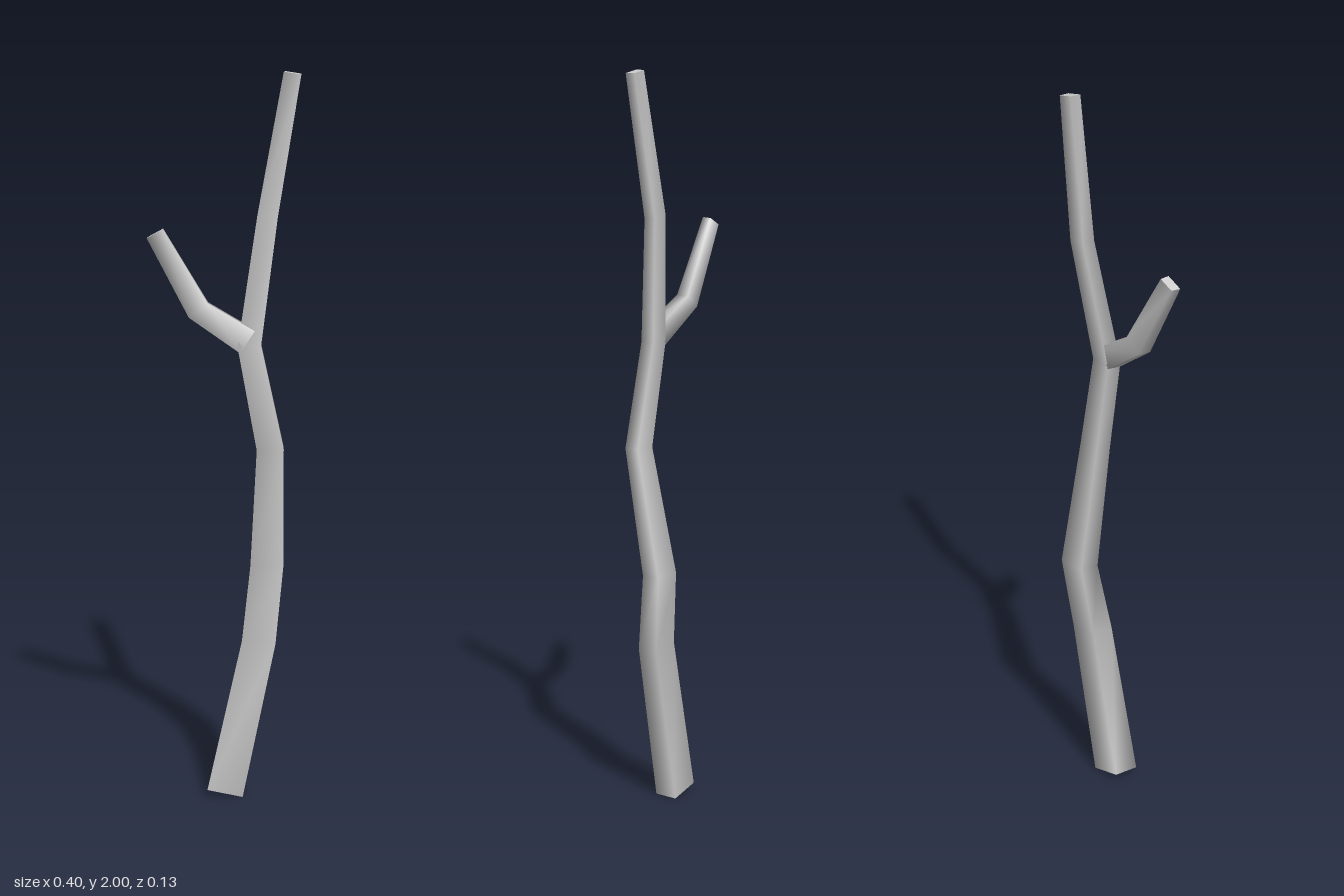
import * as THREE from 'three';

// Corners of a four-sided ring, counter-clockwise seen from its end
const CORNERS = [[-1, 1], [1, 1], [1, -1], [-1, -1]];

// Ring: [x, y, z, half width, half depth, tilt in the xy plane]
function ringPoints([x, y, z, w, d, tilt]) {
  return CORNERS.map(([u, v]) => {
    const a = u * w * (v < 0 ? 0.9 : 1); // back side slightly narrower
    return [x + a * Math.cos(tilt), y + a * Math.sin(tilt), z + v * d - 0.12 * a];
  });
}

// Smooth-sided limb through the rings, with flat end caps
function limb(name, rings, material) {
  const group = new THREE.Group();
  group.name = name;
  const pts = rings.map(ringPoints);
  const n = CORNERS.length;

  const sideIndex = [];
  for (let r = 0; r < rings.length - 1; r++) {
    for (let i = 0; i < n; i++) {
      const a = r * n + i, b = r * n + (i + 1) % n;
      sideIndex.push(a, b, b + n, a, b + n, a + n);
    }
  }
  const addPart = (partName, points, index) => {
    const g = new THREE.BufferGeometry();
    g.setAttribute('position', new THREE.Float32BufferAttribute(points.flat(), 3));
    g.setIndex(index);
    g.computeVertexNormals();
    const mesh = new THREE.Mesh(g, material);
    mesh.name = partName;
    group.add(mesh);
  };
  addPart(name + 'Bark', pts.flat(), sideIndex);
  addPart(name + 'LowerEnd', pts[0], [0, 2, 1, 0, 3, 2]);
  addPart(name + 'TipEnd', pts[pts.length - 1], [0, 1, 2, 0, 2, 3]);
  return group;
}

export function createModel() {
  const model = new THREE.Group();
  model.name = 'bareTree';
  const bark = new THREE.MeshStandardMaterial({ color: 0xcccccc });

  // Crooked main stem
  model.add(limb('trunk', [
    [0.005, 0.011, 0.012, 0.05, 0.034, -0.22],
    [0.096, 0.45, -0.003, 0.046, 0.03, -0.12],
    [0.115, 0.66, -0.033, 0.045, 0.026, 0],
    [0.127, 1.0, 0.031, 0.036, 0.021, 0.03],
    [0.07, 1.28, 0.03, 0.031, 0.02, 0.05],
    [0.113, 1.62, -0.017, 0.027, 0.017, -0.12],
    [0.177, 1.996, -0.007, 0.023, 0.0145, -0.16],
  ], bark));

  // Side branch
  model.add(limb('sideBranch', [
    [0.065, 1.292, 0.03, 0.035, 0.02, 1.0],
    [-0.066, 1.375, 0.033, 0.031, 0.018, 0.65],
    [-0.179, 1.58, 0.05, 0.024, 0.0135, 0.5],
  ], bark));

  return model;
}
